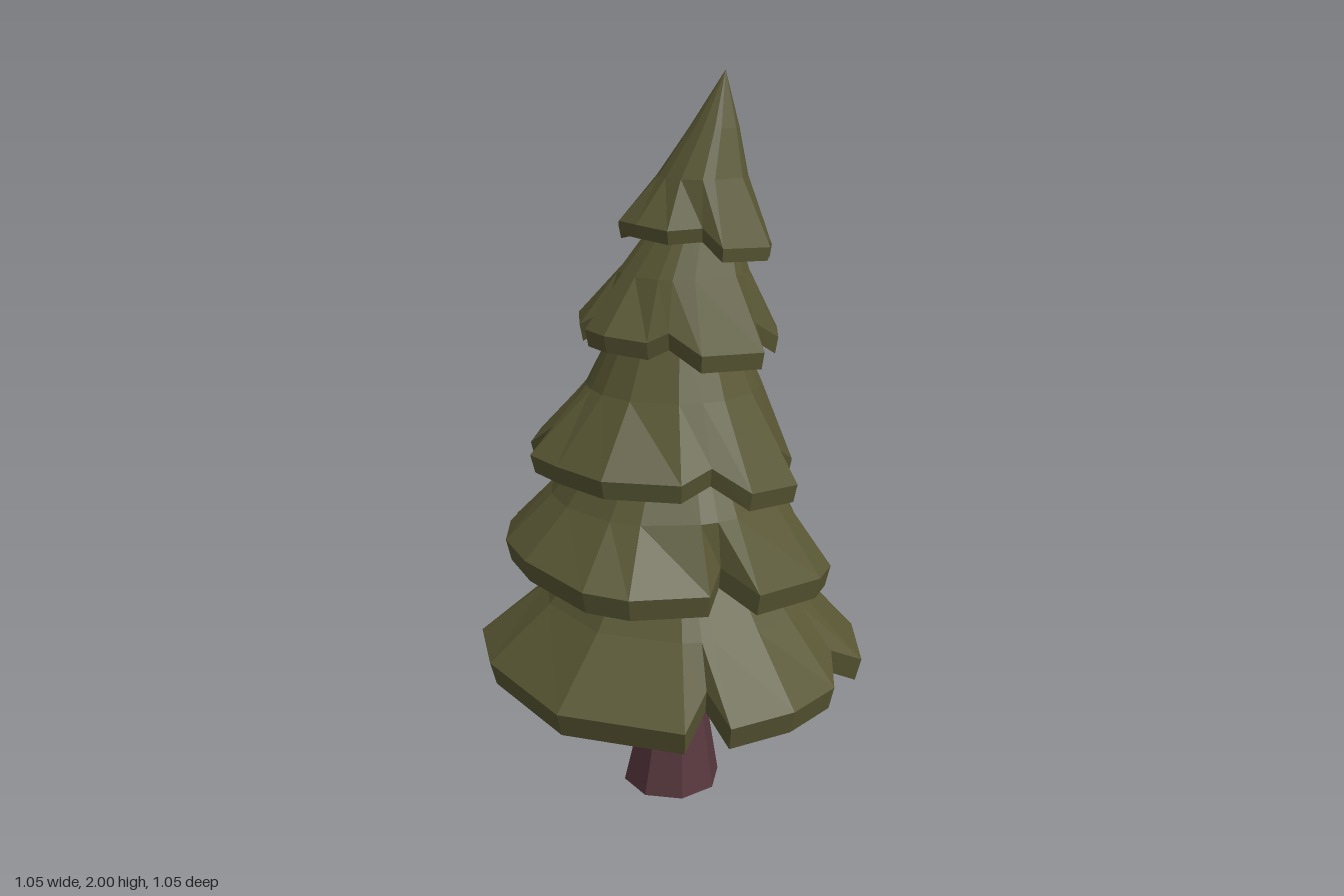
import * as THREE from 'three';

// Rim outlines, as [x, z, y of the lower edge]; raised, pulled-in points are the slits between boughs.
const rim1 = [
  [0.525, -0.04, 0.37], [0.47, 0.22, 0.37], [0.34, 0.405, 0.37], [0.24, 0.39, 0.42], [0.17, 0.485, 0.37],
  [0, 0.525, 0.37], [-0.185, 0.5, 0.37], [-0.185, 0.395, 0.43], [-0.295, 0.455, 0.37], [-0.51, 0.195, 0.375],
  [-0.525, -0.14, 0.385], [-0.44, -0.35, 0.38], [-0.17, -0.525, 0.37], [-0.04, -0.43, 0.43], [0.11, -0.515, 0.37],
  [0.34, -0.43, 0.37], [0.47, -0.24, 0.37], [0.425, -0.12, 0.44]];
const rim2 = [
  [0.45, -0.02, 0.64], [0.31, 0.09, 0.73], [0.345, 0.13, 0.65], [0.28, 0.33, 0.645], [0.2, 0.38, 0.645],
  [-0.02, 0.4, 0.66], [-0.08, 0.31, 0.72], [-0.15, 0.36, 0.675], [-0.35, 0.29, 0.69], [-0.43, 0.2, 0.7],
  [-0.47, -0.02, 0.72], [-0.44, -0.18, 0.72], [-0.35, -0.32, 0.71], [-0.27, -0.3, 0.76], [-0.28, -0.41, 0.69],
  [0, -0.495, 0.69], [0.25, -0.41, 0.67], [0.39, -0.27, 0.65]];
const rim3 = [
  [0.33, 0.05, 0.95], [0.25, 0.19, 0.93], [0.16, 0.23, 0.99], [0.145, 0.34, 0.92], [-0.02, 0.36, 0.935],
  [-0.1, 0.295, 1.0], [-0.19, 0.29, 0.97], [-0.35, 0.17, 0.98], [-0.39, 0.02, 0.985], [-0.405, -0.09, 0.99],
  [-0.29, -0.13, 1.05], [-0.32, -0.24, 0.97], [-0.23, -0.34, 0.97], [-0.04, -0.385, 0.98], [0.07, -0.28, 1.04],
  [0.11, -0.355, 0.98], [0.25, -0.25, 0.97], [0.265, -0.15, 1.01], [0.33, -0.11, 0.95]];
const rim4 = [
  [0.27, 0, 1.295], [0.26, 0.1, 1.285], [0.2, 0.18, 1.28], [0.115, 0.19, 1.33], [0.09, 0.26, 1.27],
  [-0.1, 0.25, 1.285], [-0.145, 0.17, 1.335], [-0.19, 0.14, 1.31], [-0.26, 0.05, 1.32], [-0.26, -0.04, 1.32],
  [-0.2, -0.04, 1.36], [-0.24, -0.1, 1.32], [-0.14, -0.27, 1.31], [0, -0.295, 1.325],
  [0.19, -0.24, 1.31], [0.255, -0.13, 1.31], [0.22, -0.04, 1.35]];
const rim5 = [
  [0.25, 0.04, 1.525], [0.22, 0.12, 1.525], [0.165, 0.14, 1.555], [0.15, 0.2, 1.535], [0, 0.2, 1.545],
  [-0.02, 0.14, 1.59], [-0.1, 0.1, 1.585], [-0.14, 0.02, 1.595], [-0.14, -0.06, 1.595], [-0.09, -0.14, 1.57],
  [0, -0.195, 1.565], [0.06, -0.15, 1.6], [0.1, -0.19, 1.56], [0.19, -0.16, 1.55], [0.25, -0.09, 1.54],
  [0.225, -0.01, 1.565]];

// Upper cross-sections of each tier, as [y, centre x, centre z, radius]
const tiers = [
  { rim: rim1, lip: 0.065, rings: [[0.6, 0, 0, 0.37], [0.76, 0, 0, 0.24]] },
  { rim: rim2, lip: 0.06, rings: [[0.9, -0.02, -0.02, 0.32], [1.06, -0.01, -0.01, 0.21]] },
  { rim: rim3, lip: 0.05, rings: [[1.2, -0.01, 0, 0.235], [1.42, 0, 0, 0.13]] },
  { rim: rim4, lip: 0.045, rings: [[1.5, 0.02, 0, 0.175], [1.66, 0.06, 0.01, 0.09]] },
  { rim: rim5, lip: 0.035, rings: [[1.74, 0.07, 0.015, 0.118], [1.86, 0.1, 0.025, 0.064], [2, 0.13, 0.03, 0]] },
];

// Faceted skin through a stack of loops with equal point counts
function loft(loops) {
  const pos = [];
  const n = loops[0].length;
  for (let k = 0; k < loops.length - 1; k++) {
    for (let i = 0; i < n; i++) {
      const j = (i + 1) % n;
      const [a, b, c, d] = [loops[k][i], loops[k + 1][i], loops[k + 1][j], loops[k][j]];
      for (const tri of [[a, b, c], [a, c, d]]) {
        const area = new THREE.Triangle(...tri.map((p) => new THREE.Vector3(...p))).getArea();
        if (area > 1e-7) tri.forEach((p) => pos.push(...p));
      }
    }
  }
  const g = new THREE.BufferGeometry();
  g.setAttribute('position', new THREE.Float32BufferAttribute(pos, 3));
  g.computeVertexNormals();
  return g;
}

const ring = (angles, [y, cx, cz, r]) =>
  angles.map((a) => [cx + r * Math.cos(a), y, cz + r * Math.sin(a)]);

// Bough tier: steep hollow underside, thick lip, then the sloping top
function tierGeometry({ rim, lip, rings }) {
  const [y, cx, cz, r] = rings[0];
  const [topY, topX, topZ] = rings[1];
  const angles = rim.map(([x, z]) => Math.atan2(z - cz, x - cx));
  const lower = rim.map(([x, z, h]) => [cx + (x - cx) * 0.97, h, cz + (z - cz) * 0.97]);
  const upper = rim.map(([x, z, h]) => [x, h + lip, z]);
  return loft([
    ring(angles, [topY - 0.03, topX, topZ, 0]),
    ring(angles, [y - 0.04, cx, cz, r * 0.87]),
    lower,
    upper,
    ...rings.map((section) => ring(angles, section)),
  ]);
}

export function createModel() {
  const bark = new THREE.MeshStandardMaterial({ color: 0x55363d, side: THREE.DoubleSide });
  bark.name = 'bark';
  const needles = new THREE.MeshStandardMaterial({ color: 0x585633 });
  needles.name = 'needles';

  const tree = new THREE.Group();
  tree.name = 'pineTree';

  // Eight-sided trunk, flared at the open foot
  const sides = Array.from({ length: 8 }, (_, i) => ((i + 0.5) * Math.PI) / 4);
  const trunkSections = [
    [0, -0.021, 0.002, 0.14], [0.21, -0.003, -0.008, 0.097],
    [0.38, -0.005, -0.005, 0.08], [0.7, 0, 0, 0.06]];
  const trunk = new THREE.Mesh(loft(trunkSections.map((s) => ring(sides, s))), bark);
  trunk.name = 'trunk';
  tree.add(trunk);

  // Five overlapping tiers of boughs
  tiers.forEach((tier, i) => {
    const mesh = new THREE.Mesh(tierGeometry(tier), needles);
    mesh.name = `boughTier${i + 1}`;
    tree.add(mesh);
  });
  return tree;
}
